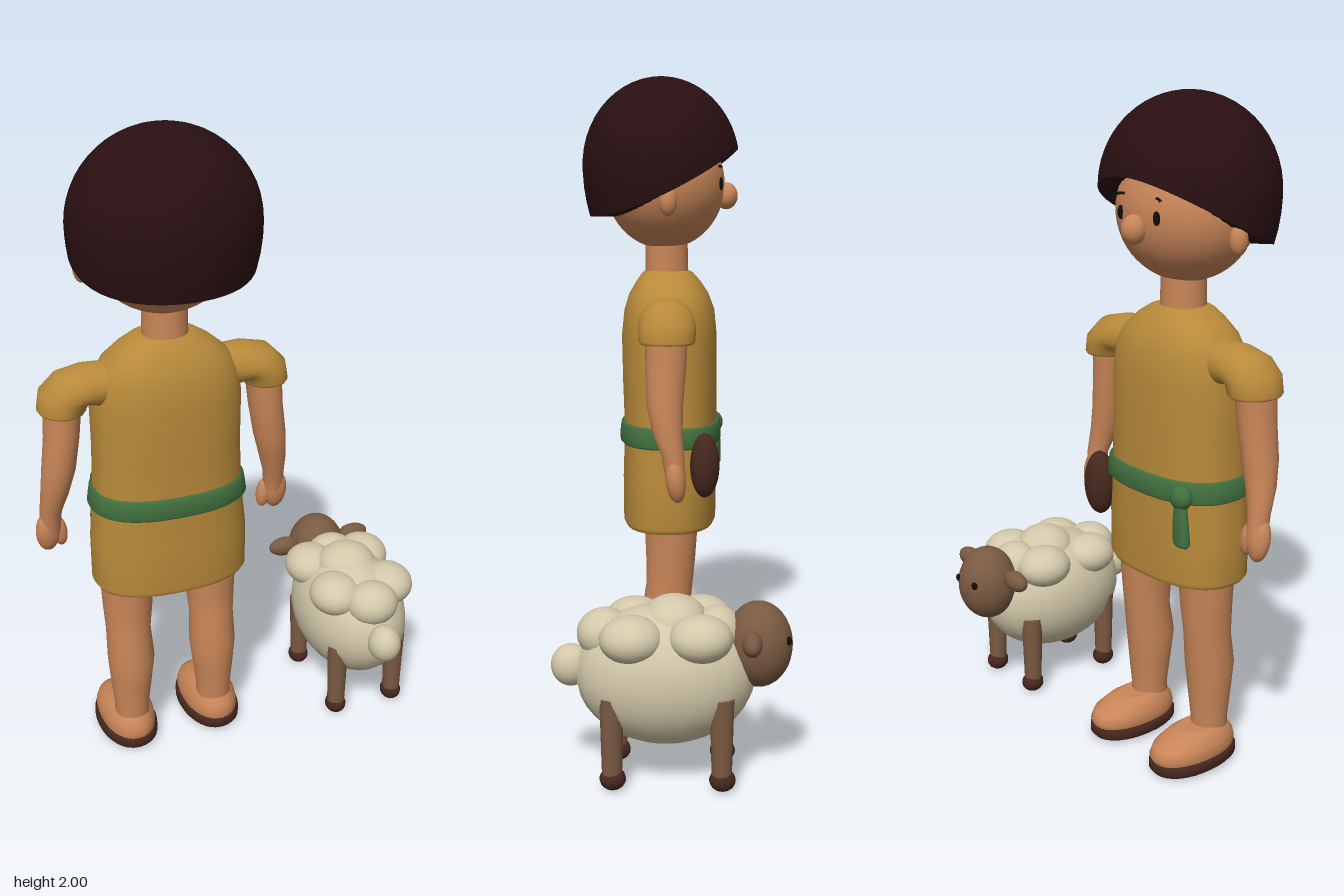
import * as THREE from 'three';

const mat = (name, color) => {
  const m = new THREE.MeshStandardMaterial({ color });
  m.name = name;
  return m;
};

// Skin of elliptical rings listed from bottom to top: [x, y, z, rx, rz, tilt]
function loft(rings, { n = 32, power = 2, caps = true } = {}) {
  const pos = [], idx = [];
  const sp = v => Math.sign(v) * Math.abs(v) ** (2 / power);
  const addRing = ([x, y, z, rx, rz, t = 0]) => {
    for (let j = 0; j < n; j++) {
      const a = j / n * Math.PI * 2, u = sp(Math.cos(a)) * rx;
      pos.push(x + u * Math.cos(t), y + u * Math.sin(t), z + sp(Math.sin(a)) * rz);
    }
  };
  rings.forEach(addRing);
  for (let i = 0; i < rings.length - 1; i++) for (let j = 0; j < n; j++) {
    const a = i * n + j, b = i * n + (j + 1) % n, c = a + n, d = b + n;
    idx.push(a, c, b, b, c, d);
  }
  if (caps) [rings[0], rings[rings.length - 1]].forEach((r, k) => {
    const s = pos.length / 3;
    addRing(r);
    pos.push(r[0], r[1], r[2]);
    for (let j = 0; j < n; j++) {
      const p = s + j, q = s + (j + 1) % n;
      k ? idx.push(s + n, q, p) : idx.push(s + n, p, q);
    }
  });
  const g = new THREE.BufferGeometry();
  g.setAttribute('position', new THREE.Float32BufferAttribute(pos, 3));
  g.setIndex(idx);
  g.computeVertexNormals();
  return g;
}

// Bowl-cut hair: dome whose lower edge rises toward the face, with a closed underside
function hairGeometry() {
  const n = 48, rows = 16, pos = [], idx = [];
  for (let i = 0; i <= rows + 2; i++) for (let j = 0; j < n; j++) {
    const a = j / n * Math.PI * 2, c = -Math.sin(a);
    const edge = 1.63 + 0.105 * c + 0.045 * c * c;
    const t = Math.min(i / rows, 1), d0 = edge - 1.73;
    const end = d0 > 0 ? Math.acos(d0 / 0.27) : Math.PI / 2 + Math.asin(-d0 / 0.38);
    const th = t * end;
    const y = 1.73 + Math.cos(th) * (th < Math.PI / 2 ? 0.27 : 0.38);
    const s = Math.sin(th) * (i > rows + 1 ? 0.5 : 1);
    pos.push(Math.cos(a) * 0.277 * s, y, 0.052 + Math.sin(a) * 0.245 * s);
  }
  for (let i = 0; i < rows + 2; i++) for (let j = 0; j < n; j++) {
    const a = i * n + j, b = i * n + (j + 1) % n, c = a + n, d = b + n;
    idx.push(a, b, c, b, d, c);
  }
  const g = new THREE.BufferGeometry();
  g.setAttribute('position', new THREE.Float32BufferAttribute(pos, 3));
  g.setIndex(idx);
  g.computeVertexNormals();
  return g;
}

export function createModel() {
  const model = new THREE.Group();
  const skin = mat('skin', 0xc98658), hairM = mat('dark hair', 0x2a0f11);
  const cloth = mat('ochre cloth', 0xb88a3a), green = mat('green sash', 0x41703f);
  const leather = mat('dark leather', 0x46281f), wool = mat('wool', 0xd3c8aa);
  const fur = mat('brown fur', 0x7a5a42), black = mat('black', 0x100c0c);

  const add = (parent, name, geo, m, p = [0, 0, 0]) => {
    const mesh = new THREE.Mesh(geo, m);
    mesh.name = name;
    mesh.position.set(...p);
    parent.add(mesh);
    return mesh;
  };
  const ball = (parent, name, m, p, r, detail = 24) => {
    const g = new THREE.SphereGeometry(1, detail, Math.round(detail * 0.7));
    return add(parent, name, g.scale(...r), m, p);
  };

  // ---- Person, facing -z ----
  const person = new THREE.Group();
  person.name = 'person';
  person.position.x = -0.205;
  model.add(person);

  // Head
  const faceZ = (x, y) => 0.04 - 0.187 * Math.sqrt(1 - (x / 0.215) ** 2 - ((y - 1.67) / 0.2) ** 2);
  ball(person, 'head', skin, [0, 1.67, 0.04], [0.215, 0.2, 0.187], 40);
  add(person, 'hair', hairGeometry(), hairM);
  ball(person, 'nose', skin, [0, 1.635, -0.152], [0.036, 0.042, 0.036]);
  add(person, 'neck', new THREE.CylinderGeometry(0.066, 0.068, 0.16, 28), skin, [0, 1.44, 0.035]);
  const mouth = new THREE.TorusGeometry(0.05, 0.004, 6, 16, 1.5);
  const m = add(person, 'mouth', mouth.rotateZ(-Math.PI / 2 - 0.75), black, [0, 1.615, faceZ(0, 1.565) - 0.001]);
  m.rotation.x = -0.15;

  // Tunic and sash
  add(person, 'tunic', loft([
    [0, 0.6, 0.025, 0.232, 0.14], [0, 0.615, 0.025, 0.242, 0.147], [0, 0.75, 0.025, 0.242, 0.148],
    [0, 0.9, 0.022, 0.228, 0.146], [0, 1.05, 0.024, 0.224, 0.149], [0, 1.2, 0.026, 0.226, 0.15],
    [0, 1.28, 0.026, 0.214, 0.142], [0, 1.33, 0.028, 0.186, 0.125], [0, 1.37, 0.03, 0.14, 0.1],
    [0, 1.395, 0.032, 0.1, 0.08], [0, 1.402, 0.033, 0.08, 0.07],
  ], { n: 48, power: 2.4 }), cloth);
  add(person, 'sash', loft([
    [0, 0.865, 0.022, 0.236, 0.154], [0, 0.872, 0.022, 0.244, 0.16], [0, 0.9, 0.022, 0.24, 0.16],
    [0, 0.925, 0.022, 0.236, 0.157], [0, 0.931, 0.022, 0.228, 0.15],
  ], { n: 48, power: 2.4 }), green);
  ball(person, 'sashKnot', green, [-0.165, 0.89, -0.115], [0.036, 0.036, 0.03]);
  add(person, 'sashTail', loft([
    [-0.175, 0.745, -0.12, 0.024, 0.012], [-0.175, 0.755, -0.12, 0.032, 0.018],
    [-0.17, 0.82, -0.12, 0.028, 0.018], [-0.165, 0.89, -0.118, 0.018, 0.016],
  ], { n: 16 }), green);
  ball(person, 'pouch', leather, [0.232, 0.82, -0.09], [0.053, 0.1, 0.045]);

  for (const s of [1, -1]) {
    // Face details
    const ex = s * 0.075;
    ball(person, 'ear', skin, [s * 0.232, 1.617, 0.022], [0.026, 0.043, 0.027], 16);
    ball(person, 'eye', black, [ex, 1.672, faceZ(ex, 1.672)], [0.013, 0.02, 0.007], 14);
    const brow = new THREE.TorusGeometry(0.04, 0.004, 6, 12, 1.2).rotateZ(Math.PI / 2 - 0.6);
    add(person, 'brow', brow, black, [ex, 1.685, faceZ(ex, 1.72) - 0.002]).rotation.y = s * 0.35;

    // Sleeve, arm and hand
    add(person, 'sleeve', loft([
      [s * 0.312, 1.2, 0.022, 0.066, 0.078, 0], [s * 0.312, 1.208, 0.022, 0.071, 0.084, 0],
      [s * 0.303, 1.245, 0.022, 0.073, 0.086, s * 0.25], [s * 0.272, 1.264, 0.024, 0.072, 0.084, s * 0.75],
      [s * 0.225, 1.268, 0.025, 0.068, 0.078, s * 1.25], [s * 0.15, 1.27, 0.026, 0.06, 0.07, s * 1.45],
    ]), cloth);
    add(person, 'arm', loft([
      [s * 0.36, 0.8, -0.005, 0.03, 0.03], [s * 0.358, 0.87, 0.003, 0.033, 0.033],
      [s * 0.346, 0.94, 0.02, 0.042, 0.045], [s * 0.332, 1.02, 0.028, 0.05, 0.054],
      [s * 0.318, 1.12, 0.026, 0.052, 0.06], [s * 0.31, 1.22, 0.024, 0.055, 0.064],
    ], { n: 24 }), skin);
    ball(person, 'hand', skin, [s * 0.368, 0.8, -0.005], [0.037, 0.068, 0.03], 18).rotation.x = 0.12;
    ball(person, 'thumb', skin, [s * 0.332, 0.79, -0.012], [0.024, 0.05, 0.022], 14).rotation.z = -s * 0.15;

    // Leg, foot and sandal sole
    add(person, 'leg', loft([
      [s * 0.14, 0.06, 0.035, 0.055, 0.058], [s * 0.14, 0.14, 0.035, 0.055, 0.058],
      [s * 0.139, 0.22, 0.035, 0.064, 0.066], [s * 0.137, 0.32, 0.035, 0.074, 0.076],
      [s * 0.139, 0.42, 0.022, 0.07, 0.073], [s * 0.137, 0.5, 0.018, 0.077, 0.077],
      [s * 0.134, 0.64, 0.016, 0.087, 0.085],
    ]), skin);
    add(person, 'foot', loft([
      [s * 0.142, 0.04, -0.033, 0.082, 0.145], [s * 0.142, 0.06, -0.035, 0.086, 0.152],
      [s * 0.142, 0.085, -0.032, 0.081, 0.143], [s * 0.141, 0.108, -0.018, 0.066, 0.115],
      [s * 0.14, 0.12, 0.005, 0.05, 0.08],
    ], { power: 2.2 }), skin);
    add(person, 'sole', loft([
      [s * 0.142, 0.008, -0.033, 0.085, 0.145], [s * 0.142, 0.018, -0.033, 0.093, 0.153],
      [s * 0.142, 0.038, -0.033, 0.093, 0.153], [s * 0.142, 0.046, -0.033, 0.085, 0.145],
    ], { power: 2.2 }), leather);
  }

  // ---- Sheep, facing -z ----
  const sheep = new THREE.Group();
  sheep.name = 'sheep';
  sheep.position.x = 0.43;
  model.add(sheep);
  ball(sheep, 'sheepBody', wool, [0, 0.305, 0.015], [0.174, 0.2, 0.255], 24);
  ball(sheep, 'tail', wool, [0, 0.325, 0.282], [0.052, 0.06, 0.057]);
  // Wool tufts: position then radii
  const tufts = [
    [0, 0.455, -0.01, 0.1, 0.076, 0.095], [0, 0.42, 0.185, 0.085, 0.07, 0.08],
    [0, 0.43, -0.13, 0.085, 0.07, 0.07],
  ];
  for (const s of [1, -1]) tufts.push(
    [s * 0.095, 0.435, -0.085, 0.085, 0.066, 0.09], [s * 0.092, 0.43, 0.105, 0.085, 0.066, 0.09]);
  for (const [x, y, z, ...r] of tufts) ball(sheep, 'woolTuft', wool, [x, y, z], r);

  ball(sheep, 'sheepHead', fur, [0, 0.392, -0.247], [0.097, 0.122, 0.096], 28);
  for (const s of [1, -1]) {
    ball(sheep, 'sheepEar', fur, [s * 0.13, 0.432, -0.226], [0.055, 0.033, 0.028], 16);
    ball(sheep, 'sheepEye', black, [s * 0.045, 0.415, -0.329], [0.013, 0.013, 0.009], 12);
    for (const z of [-0.145, 0.16]) {
      const x = s * 0.103;
      add(sheep, 'sheepLeg', new THREE.CylinderGeometry(0.034, 0.028, 0.23, 18), fur, [x, 0.153, z]);
      ball(sheep, 'hoof', leather, [x, 0.032, z - 0.002], [0.034, 0.032, 0.037], 16);
    }
  }
  return model;
}
